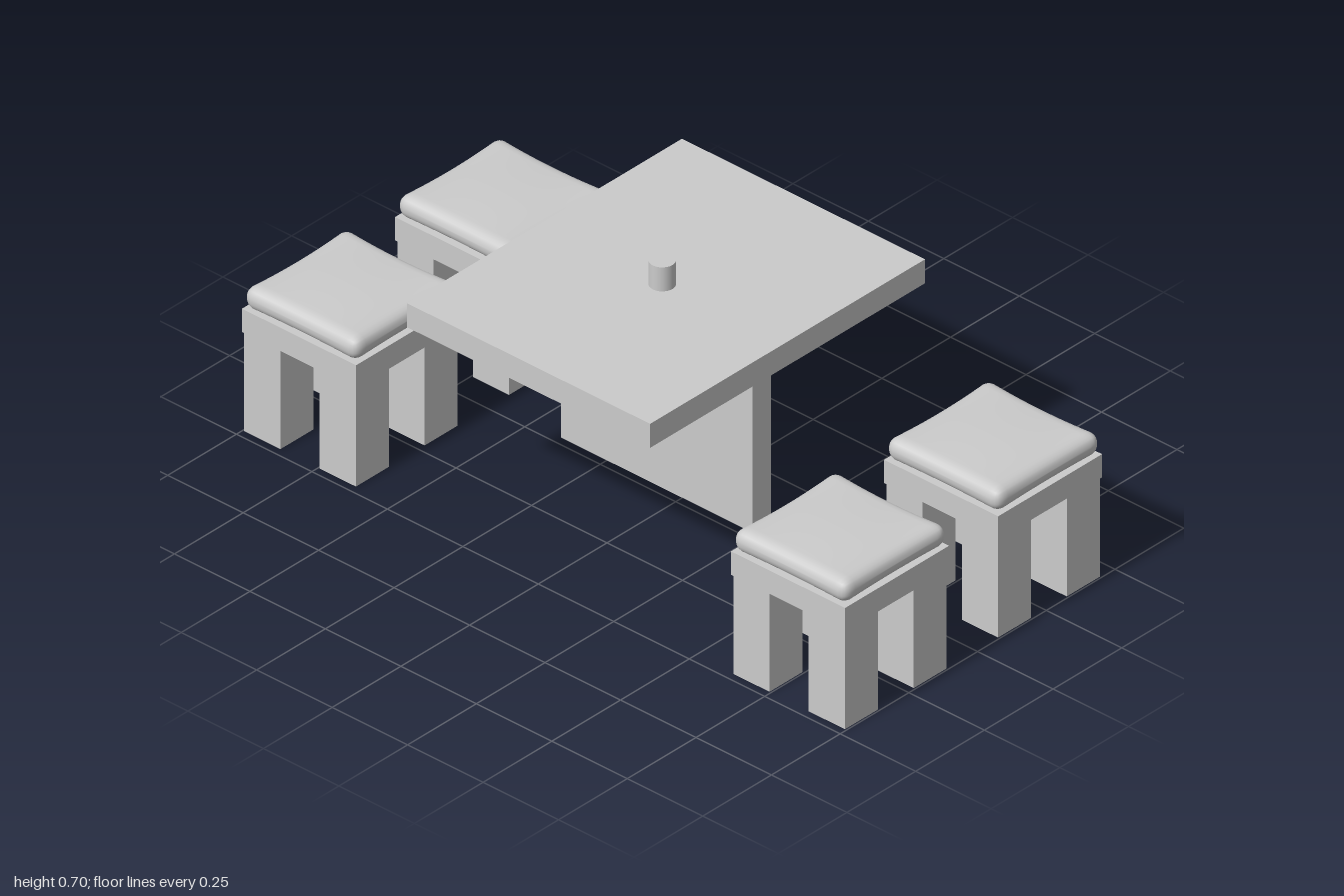
import * as THREE from 'three';
import { mergeVertices } from 'three/addons/utils/BufferGeometryUtils.js';

const material = new THREE.MeshStandardMaterial({ color: 0xcccccc, side: THREE.DoubleSide });

function addPart(parent, name, geometry, x = 0, y = 0, z = 0) {
  const mesh = new THREE.Mesh(geometry, material);
  mesh.name = name;
  mesh.position.set(x, y, z);
  parent.add(mesh);
  return mesh;
}

// Hollow box standing on y = 0: no bottom, and a top only if asked for
function openBox(w, h, d, hasTop = true) {
  const geometry = new THREE.BoxGeometry(w, h, d).translate(0, h / 2, 0);
  const index = Array.from(geometry.index.array);
  geometry.setIndex(index.filter((_, i) => !(i >= 18 && i < 24) && (hasTop || i < 12 || i >= 18)));
  geometry.clearGroups();
  return geometry;
}

// Soft pillow: a rounded box with pinched sides and slightly raised corners
function cushionGeometry(w, h, d, r) {
  let geometry = new THREE.BoxGeometry(w, h, d, 28, 8, 28);
  geometry.deleteAttribute('uv');
  geometry.deleteAttribute('normal');
  geometry = mergeVertices(geometry);
  const pos = geometry.attributes.position;
  const p = new THREE.Vector3();
  const inner = new THREE.Vector3();
  const limit = new THREE.Vector3(w / 2 - r, h / 2 - r, d / 2 - r);
  for (let i = 0; i < pos.count; i++) {
    p.fromBufferAttribute(pos, i);
    inner.copy(p).clamp(limit.clone().negate(), limit);
    p.sub(inner).setLength(r).add(inner);
    const u = (2 * p.x) / w;
    const v = (2 * p.z) / d;
    p.x *= 1 - 0.03 * (1 - v * v) * u * u;
    p.z *= 1 - 0.03 * (1 - u * u) * v * v;
    if (p.y > 0) p.y -= 0.006 * (u * u * (1 - v * v) + v * v * (1 - u * u));
    pos.setXYZ(i, p.x, p.y, p.z);
  }
  geometry.computeVertexNormals();
  return geometry;
}

// Underside of a stool seat, with openings into the hollow legs
function undersideGeometry(half, legCentre, legHalf) {
  const square = (path, x, y, s) =>
    path.moveTo(x - s, y - s).lineTo(x + s, y - s).lineTo(x + s, y + s).lineTo(x - s, y + s).closePath();
  const shape = new THREE.Shape();
  square(shape, 0, 0, half);
  for (const sx of [-1, 1]) for (const sz of [-1, 1]) {
    const hole = new THREE.Path();
    square(hole, sx * legCentre, sz * legCentre, legHalf);
    shape.holes.push(hole);
  }
  return new THREE.ShapeGeometry(shape).rotateX(Math.PI / 2);
}

function createStool() {
  const stool = new THREE.Group();
  stool.name = 'stool';
  const legCentre = 0.125, legWidth = 0.12;
  for (const sx of [-1, 1]) for (const sz of [-1, 1]) {
    addPart(stool, 'stoolLeg', openBox(legWidth, 0.29, legWidth, false), sx * legCentre, 0, sz * legCentre);
  }
  addPart(stool, 'stoolSeat', openBox(0.378, 0.068, 0.378), 0, 0.29, 0);
  addPart(stool, 'stoolUnderside', undersideGeometry(0.189, legCentre, legWidth / 2), 0, 0.29, 0);
  addPart(stool, 'stoolCushion', cushionGeometry(0.38, 0.068, 0.38, 0.031), 0, 0.391, 0);
  return stool;
}

export function createModel() {
  const model = new THREE.Group();
  model.name = 'tableWithStools';

  // Table: hollow top, upright panel and a small round post on top
  const table = new THREE.Group();
  table.name = 'table';
  addPart(table, 'tableTop', openBox(0.805, 0.07, 1), -0.032, 0.56, 0);
  addPart(table, 'tablePanel', openBox(0.635, 0.578, 0.068, false), -0.032, 0.051, 0);
  addPart(table, 'tablePost', new THREE.CylinderGeometry(0.034, 0.034, 0.07, 24), -0.03, 0.666, 0.016);
  model.add(table);

  // Two stools on each side
  for (const x of [-0.81, 0.81]) for (const z of [0.292, -0.265]) {
    const stool = createStool();
    stool.position.set(x, 0, z);
    model.add(stool);
  }
  return model;
}
